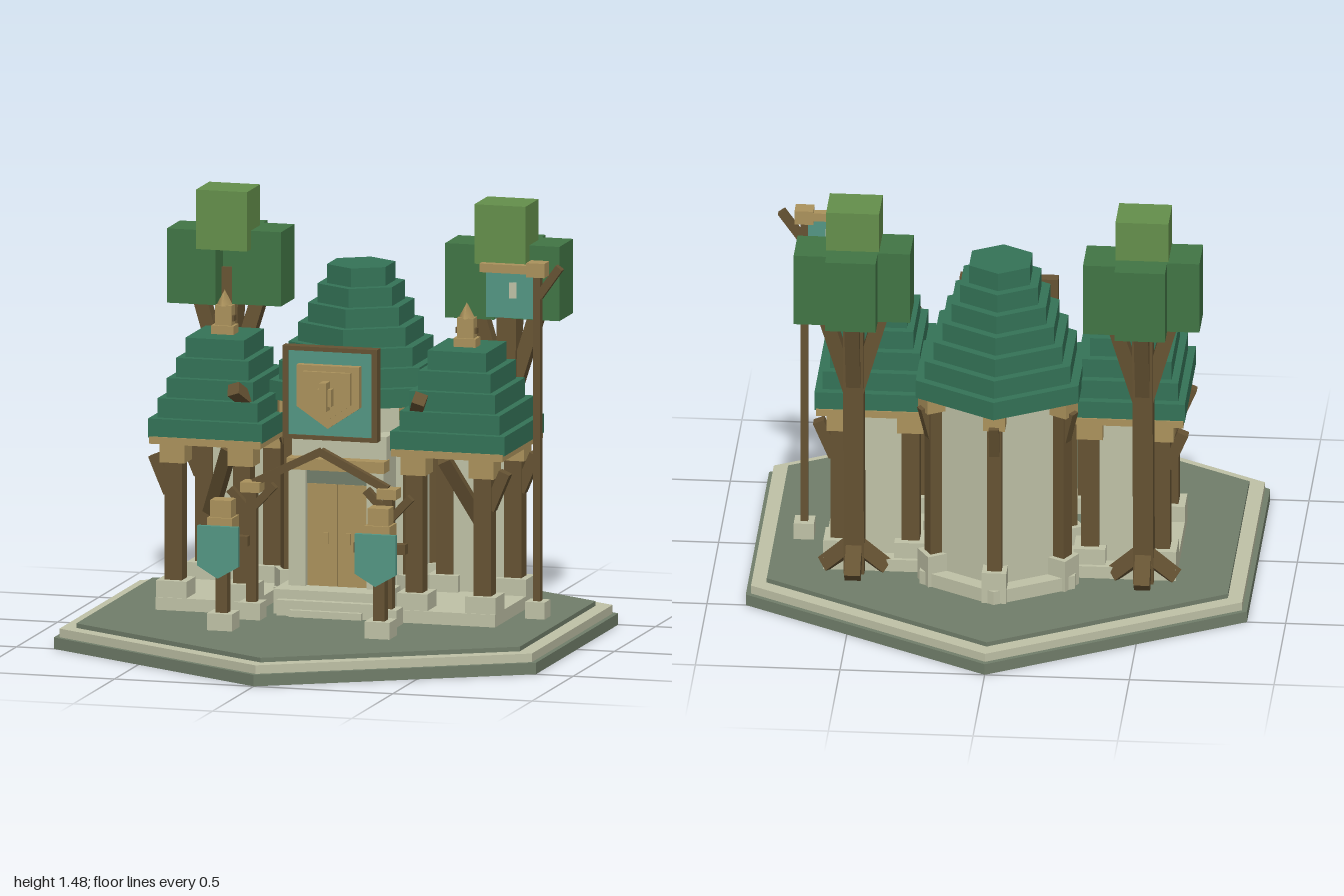
import * as THREE from 'three';

const mat = (name, color) => {
  const m = new THREE.MeshStandardMaterial({ color });
  m.name = name;
  return m;
};

export function createModel() {
  const moss = mat('mossy stone', 0x717e6a);
  const stone = mat('pale stone', 0xbfc1a6);
  const roof = mat('green shingle', 0x347357);
  const wood = mat('dark wood', 0x665333);
  const tan = mat('light wood', 0xab925c);
  const teal = mat('teal cloth', 0x549684);
  const leaf = mat('dark leaf', 0x417545);
  const lightLeaf = mat('light leaf', 0x648f4b);

  const model = new THREE.Group();
  model.name = 'hexShrine';
  const group = (name, parent = model) => {
    const g = new THREE.Group();
    g.name = name;
    parent.add(g);
    return g;
  };
  const add = (parent, name, geo, m, x = 0, y = 0, z = 0) => {
    const mesh = new THREE.Mesh(geo, m);
    mesh.name = name;
    mesh.position.set(x, y, z);
    parent.add(mesh);
    return mesh;
  };
  // box given by its centre in x and z and its bottom and top heights
  const block = (parent, name, m, x, z, w, d, y0, y1) =>
    add(parent, name, new THREE.BoxGeometry(w, y1 - y0, d), m, x, (y0 + y1) / 2, z);
  // hexagonal slab with corners towards +z and -z
  const hex = (parent, name, m, z, r, y0, y1) => {
    const geo = new THREE.CylinderGeometry(r, r, y1 - y0, 6).toNonIndexed();
    geo.computeVertexNormals();
    return add(parent, name, geo, m, 0, (y0 + y1) / 2, z);
  };
  // square beam between two points
  const beam = (parent, name, m, a, b, w) => {
    const p = new THREE.Vector3(...a), q = new THREE.Vector3(...b);
    const dir = q.clone().sub(p);
    const mesh = add(parent, name, new THREE.BoxGeometry(w, dir.length(), w), m);
    mesh.position.copy(p).add(q).multiplyScalar(0.5);
    mesh.quaternion.setFromUnitVectors(new THREE.Vector3(0, 1, 0), dir.normalize());
    return mesh;
  };
  // five-sided pennant plate pointing down
  const shield = (parent, name, m, x, z, half, top, shoulder, tip, depth) => {
    const s = new THREE.Shape();
    s.moveTo(-half, top);
    s.lineTo(-half, shoulder);
    s.lineTo(0, tip);
    s.lineTo(half, shoulder);
    s.lineTo(half, top);
    return add(parent, name, new THREE.ExtrudeGeometry(s, { depth, bevelEnabled: false }), m, x, 0, z);
  };

  // stepped hexagonal ground
  const base = group('base');
  hex(base, 'baseSkirt', moss, 0, 1, 0, 0.04);
  hex(base, 'baseRim', stone, 0, 0.98, 0.04, 0.07);
  hex(base, 'baseTop', moss, 0, 0.92, 0.07, 0.086);

  // central tower
  const tower = group('tower');
  const cz = -0.305;
  hex(tower, 'towerFooting', stone, cz, 0.31, 0.08, 0.135);
  hex(tower, 'towerWall', stone, cz, 0.25, 0.13, 0.8);
  for (let i = 0; i < 7; i++) {
    hex(tower, 'towerRoofTier', roof, cz, 0.325 - i * 0.034, 0.795 + i * 0.066, 0.861 + i * 0.066);
  }
  for (let i = 1; i < 6; i++) {
    const corner = group('towerCorner', tower);
    corner.position.z = cz;
    corner.rotation.y = (i * Math.PI) / 3;
    block(corner, 'plinth', stone, 0, 0.255, 0.085, 0.085, 0.08, 0.2);
    block(corner, 'post', wood, 0, 0.255, 0.05, 0.05, 0.2, 0.74);
    block(corner, 'capital', tan, 0, 0.26, 0.075, 0.075, 0.74, 0.795);
    beam(corner, 'bracket', wood, [0, 0.64, 0.265], [0, 0.755, 0.295], 0.035);
  }

  // entrance with steps and double door
  const porch = group('entrance');
  block(porch, 'porchWall', stone, 0, -0.13, 0.34, 0.18, 0.13, 0.7);
  block(porch, 'lowerStep', stone, 0, 0, 0.26, 0.27, 0.08, 0.11);
  block(porch, 'middleStep', stone, 0, 0, 0.36, 0.23, 0.08, 0.14);
  block(porch, 'upperStep', stone, 0, -0.01, 0.4, 0.19, 0.08, 0.172);
  block(porch, 'doorHeader', moss, 0, -0.035, 0.22, 0.03, 0.53, 0.58);
  block(porch, 'lintel', tan, 0, -0.025, 0.35, 0.07, 0.58, 0.62);
  for (const s of [-1, 1]) {
    block(porch, 'doorJamb', stone, s * 0.14, -0.025, 0.06, 0.05, 0.17, 0.58);
    block(porch, 'doorLeaf', tan, s * 0.055, -0.033, 0.107, 0.03, 0.172, 0.53);
    block(porch, 'doorHandle', tan, s * 0.04, -0.014, 0.016, 0.012, 0.32, 0.36);
  }

  // framed board with a plain shield
  const sign = group('signBoard');
  block(sign, 'signSupport', wood, 0, -0.03, 0.16, 0.13, 0.8, 0.92);
  block(sign, 'signBack', wood, 0, 0.05, 0.34, 0.03, 0.7, 1.025);
  block(sign, 'signCloth', teal, 0, 0.067, 0.3, 0.008, 0.715, 1.01);
  for (const s of [-1, 1]) {
    block(sign, 'frameSide', wood, s * 0.16, 0.06, 0.02, 0.035, 0.7, 1.025);
    const y = s < 0 ? 0.7 : 1.01;
    block(sign, 'frameRail', wood, 0, 0.06, 0.34, 0.035, y, y + 0.015);
  }
  shield(sign, 'shield', tan, 0, 0.071, 0.112, 0.965, 0.82, 0.745, 0.03);
  shield(sign, 'shieldInset', tan, 0, 0.1, 0.085, 0.945, 0.832, 0.775, 0.015);
  block(sign, 'boss', tan, 0, 0.13, 0.05, 0.035, 0.83, 0.89);
  block(sign, 'bossRidge', tan, 0, 0.14, 0.025, 0.05, 0.815, 0.915);

  // side pavilions
  for (const s of [-1, 1]) {
    const wing = group(s > 0 ? 'leftPavilion' : 'rightPavilion');
    const cx = s * 0.435, wz = -0.12;
    block(wing, 'floor', stone, cx, wz, 0.35, 0.5, 0.08, 0.13);
    block(wing, 'backWall', stone, cx, -0.295, 0.23, 0.04, 0.13, 0.67);
    block(wing, 'eaveBoard', tan, cx, wz, 0.4, 0.49, 0.665, 0.69);
    for (let i = 0; i < 5; i++) {
      block(wing, 'roofTier', roof, cx, wz, 0.41 - i * 0.05, 0.48 - i * 0.058,
        0.685 + i * 0.067, 0.752 + i * 0.067);
    }
    for (const x of [0.31, 0.555]) {
      for (const z of [0.07, -0.3]) {
        block(wing, 'plinth', stone, s * x, z, 0.11, 0.11, 0.1, 0.188);
        block(wing, 'post', wood, s * x, z, 0.062, 0.062, 0.188, 0.6);
        block(wing, 'capital', tan, s * x, z, 0.09, 0.09, 0.6, 0.665);
        if (x > 0.5) beam(wing, 'bracket', wood, [s * 0.575, 0.49, z], [s * 0.63, 0.62, z], 0.04);
      }
    }
    beam(wing, 'brace', wood, [s * 0.385, 0.64, -0.01], [s * 0.49, 0.39, -0.14], 0.045);
    beam(wing, 'roofStub', wood, [s * 0.3, 0.81, 0.03], [s * 0.335, 0.87, 0.115], 0.045);
    // roof finial
    block(wing, 'finialBase', tan, cx, wz, 0.08, 0.06, 1.015, 1.05);
    block(wing, 'finialBody', tan, cx, wz, 0.06, 0.04, 1.05, 1.12);
    block(wing, 'finialArms', wood, cx, wz, 0.075, 0.025, 1.065, 1.085);
    add(wing, 'finialTip', new THREE.ConeGeometry(0.03, 0.055, 4), tan, cx, 1.145, wz);
  }

  // timber gate in front of the steps
  const gate = group('gate');
  for (const s of [-1, 1]) {
    block(gate, 'gatePlinth', stone, s * 0.245, 0.188, 0.08, 0.08, 0.08, 0.145);
    block(gate, 'gatePost', wood, s * 0.245, 0.188, 0.035, 0.035, 0.145, 0.53);
    block(gate, 'gateCapital', tan, s * 0.245, 0.188, 0.07, 0.065, 0.53, 0.565);
    beam(gate, 'gateRafter', wood, [0, 0.68, 0.183], [s * 0.24, 0.56, 0.183], 0.027);
    beam(gate, 'gateBrace', wood, [s * 0.255, 0.46, 0.188], [s * 0.165, 0.555, 0.188], 0.027);
    beam(gate, 'gateOuterBrace', wood, [s * 0.255, 0.46, 0.188], [s * 0.325, 0.535, 0.188], 0.027);
  }

  // lantern posts with pennants
  for (const s of [-1, 1]) {
    const lantern = group('lanternPost');
    const x = s * 0.283, z = 0.415;
    block(lantern, 'lanternPlinth', stone, x, z, 0.09, 0.09, 0.08, 0.145);
    block(lantern, 'lanternStem', wood, x, z, 0.042, 0.042, 0.145, 0.34);
    block(lantern, 'lanternBody', tan, x, z, 0.09, 0.085, 0.33, 0.48);
    block(lantern, 'lanternCap', tan, x, z, 0.075, 0.065, 0.48, 0.54);
    block(lantern, 'crossBar', wood, x, z, 0.185, 0.035, 0.38, 0.415);
    shield(lantern, 'pennant', teal, x, 0.465, 0.073, 0.455, 0.315, 0.272, 0.018);
  }

  // blocky trees
  for (const x of [-0.5, 0.5]) {
    const tree = group('tree');
    tree.position.x = x;
    beam(tree, 'trunk', wood, [0, 0.085, -0.37], [0, 1.2, -0.42], 0.07);
    for (const [bx, bz] of [[-0.11, -0.39], [0.11, -0.43], [0, -0.5]]) {
      beam(tree, 'branch', wood, [0, 0.75, -0.395], [bx, 1.13, bz], 0.05);
    }
    for (const [rx, rz] of [[-0.1, -0.35], [0.1, -0.35], [0, -0.47]]) {
      beam(tree, 'root', wood, [rx * 0.1, 0.19, -0.38], [rx, 0.1, rz], 0.055);
    }
    block(tree, 'foliage', leaf, -0.112, -0.39, 0.175, 0.16, 1.08, 1.34);
    block(tree, 'foliage', leaf, 0.112, -0.43, 0.175, 0.165, 1.08, 1.34);
    block(tree, 'foliage', leaf, 0, -0.48, 0.175, 0.16, 1.08, 1.34);
    block(tree, 'crown', lightLeaf, 0, -0.38, 0.183, 0.16, 1.275, 1.483);
  }

  // tall pole with a hanging flag
  const pole = group('flagPole');
  const pz = -0.1;
  block(pole, 'polePlinth', stone, 0.695, pz, 0.07, 0.07, 0.08, 0.145);
  block(pole, 'pole', wood, 0.695, pz, 0.026, 0.026, 0.145, 1.29);
  block(pole, 'poleCap', tan, 0.695, pz, 0.065, 0.06, 1.28, 1.33);
  block(pole, 'flagArm', tan, 0.585, pz, 0.19, 0.03, 1.287, 1.317);
  beam(pole, 'poleStrut', wood, [0.7, 1.21, pz], [0.775, 1.315, pz], 0.028);
  block(pole, 'flag', teal, 0.597, pz, 0.172, 0.012, 1.13, 1.287);
  block(pole, 'flagPatch', stone, 0.608, pz, 0.027, 0.02, 1.2, 1.255);

  return model;
}
